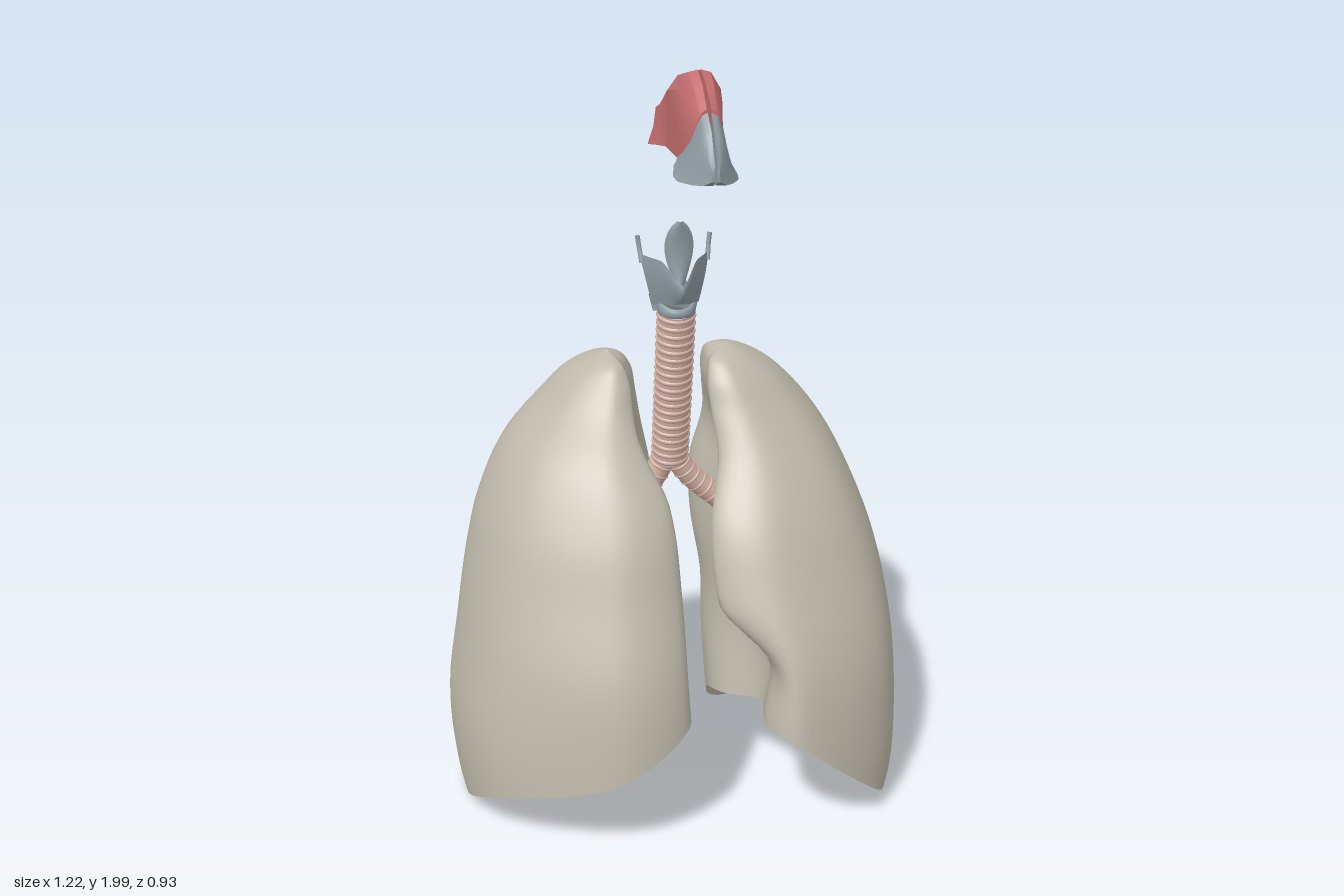
import * as THREE from 'three';
import { ParametricGeometry } from 'three/addons/geometries/ParametricGeometry.js';
import { mergeVertices, toCreasedNormals } from 'three/addons/utils/BufferGeometryUtils.js';

const V = (x, y, z) => new THREE.Vector3(x, y, z);
const { smoothstep, lerp } = THREE.MathUtils;
const mat = (color, side = THREE.FrontSide) => new THREE.MeshStandardMaterial({ color, side });
const lungMat = mat(0xbfbaab), airwayMat = mat(0xd6b3a7), mucosaMat = mat(0xc66f70, THREE.DoubleSide);
const cartilageMat = mat(0x929fa6, THREE.DoubleSide);

function mesh(name, geometry, material, parent) {
  const m = new THREE.Mesh(geometry, material);
  m.name = name;
  parent.add(m);
  return m;
}

// Smooth surface from f(u, v) -> Vector3, welded at seams and poles
function surface(f, nu, nv) {
  const g = new ParametricGeometry((u, v, t) => t.copy(f(u, v)), nu, nv);
  g.deleteAttribute('normal');
  g.deleteAttribute('uv');
  const welded = mergeVertices(g, 1e-5);
  welded.computeVertexNormals();
  return welded;
}

// Smoothly interpolated rows [position, value, value, ...]
function table(rows) {
  const n = rows[0].length - 1;
  const it = new THREE.CubicInterpolant(rows.map(r => r[0]), rows.flatMap(r => r.slice(1)), n, new Float32Array(n));
  return t => Array.from(it.evaluate(t));
}

// Lung outlines by height: y, medial x, lateral x, front z, back z
const leftSizes = table([
  [0, 0.10, 0.575, 0.40, -0.405], [0.1, 0.09, 0.60, 0.41, -0.44], [0.3, 0.08, 0.605, 0.405, -0.46],
  [0.5, 0.08, 0.59, 0.37, -0.46], [0.7, 0.05, 0.55, 0.29, -0.44], [0.85, 0.05, 0.495, 0.22, -0.415],
  [1.0, 0.09, 0.42, 0.11, -0.37], [1.1, 0.085, 0.345, 0.04, -0.32], [1.18, 0.085, 0.26, -0.01, -0.26],
  [1.22, 0.105, 0.19, -0.06, -0.19], [1.235, 0.145, 0.15, -0.12, -0.125]]);
const rightSizes = table([
  [0, 0.06, 0.58, 0.40, -0.405], [0.1, 0.04, 0.60, 0.405, -0.44], [0.3, 0.01, 0.61, 0.40, -0.46],
  [0.5, 0.015, 0.58, 0.37, -0.46], [0.7, 0.02, 0.545, 0.295, -0.44], [0.85, 0.03, 0.505, 0.235, -0.415],
  [1.0, 0.06, 0.43, 0.14, -0.37], [1.1, 0.08, 0.34, 0.04, -0.32], [1.18, 0.10, 0.26, -0.02, -0.26],
  [1.215, 0.13, 0.20, -0.06, -0.19], [1.23, 0.16, 0.165, -0.12, -0.125]]);
// Height of the lower rim at each point of the section, rising to the front and the midline
const leftRim = [0.015, 0.015, 0.015, 0.05, 0.17, 0.25, 0.33, 0.35, 0.31, 0.07];
const rightRim = [0.02, 0.015, 0.015, 0.05, 0.19, 0.28, 0.35, 0.37, 0.26, 0.16];

function lung(side, parent) {
  const left = side > 0, top = left ? 1.235 : 1.23;
  const sizes = left ? leftSizes : rightSizes, rim = left ? leftRim : rightRim;

  // Kidney-shaped section: hollow towards the heart, notched in front on the left
  function section(u, v) {
    const outline = y => {
      const pit = 0.2 * smoothstep(y, 0.1, 0.45) * (1 - smoothstep(y, 0.85, 1.15));
      const notch = left ? (0.16 + 0.04 * smoothstep(y, 0.36, 0.48)) * (1 - smoothstep(y, 0.5, 0.67)) : 0;
      const edge = left ? 0 : 0.12 * smoothstep(y, 0.9, 1.08);
      return new THREE.CatmullRomCurve3([
        [1, -0.05], [0.91, -0.65], [0.57, -1], [0.15, -0.8], [left ? 0.07 : 0.01, -0.42], [0.04 + pit, 0.03],
        [0.05 + pit * 0.8 + notch * 0.3 + edge, 0.45], [0.02 + notch + edge, 0.82], [0.35 + edge * 0.5, 1], [0.83, 0.63]
      ].map(([a, b], i) => V(a, rim[i], b)), true, 'catmullrom', 0.5).getPoint(u);
    };
    const y = lerp(Math.max(0.01, outline(0.25).y), top, v), p = outline(y), [xi, xo, zf, zb] = sizes(y);
    return V(lerp(xi, xo, p.x), y, lerp(zb, zf, (p.z + 1) / 2));
  }
  const turn = u => (left ? u : 1 - u) % 1;
  const outer = surface((u, v) => {
    const p = section(turn(u), Math.sin(v * Math.PI / 2));
    p.x *= side;
    return p;
  }, 72, 40);
  // Hollow base resting on the diaphragm
  const base = surface((u, v) => {
    const s = 1 - v, p = section(turn(u), 0);
    return V(side * lerp(p.x, 0.3, s), lerp(p.y, 0.4, 1 - v * v), lerp(p.z, 0.02, s));
  }, 72, 14);
  const g = new THREE.Group();
  g.name = left ? 'leftLung' : 'rightLung';
  parent.add(g);
  mesh('lungSurface', outer, lungMat, g);
  mesh('lungBase', base, lungMat, g);
}

// Airway tube with cartilage rings open at the back
function airway(name, points, r, rings, parent) {
  const g = new THREE.Group();
  g.name = name;
  parent.add(g);
  const curve = new THREE.CatmullRomCurve3(points);
  mesh('airwayWall', new THREE.TubeGeometry(curve, 24, r * 0.94, 20), airwayMat, g);
  const ring = new THREE.TorusGeometry(r * 0.86, r * 0.15, 8, 24, Math.PI * 1.5).rotateZ(-Math.PI / 4);
  for (let i = 0; i < rings; i++) {
    const t = (i + 0.5) / rings, m = mesh('airwayRing', ring, airwayMat, g);
    m.position.copy(curve.getPointAt(t));
    m.quaternion.setFromUnitVectors(V(0, 0, 1), curve.getTangentAt(t));
  }
}

function larynx(parent) {
  const g = new THREE.Group();
  g.name = 'larynx';
  parent.add(g);
  // Shield-shaped cartilage, notched at the top of the midline
  mesh('thyroidCartilage', surface((u, v) => {
    const a = u * 2 - 1, b = Math.abs(a);
    const low = 1.395 - 0.02 * b, high = 1.45 + 0.05 * smoothstep(b, 0, 0.55);
    return V(a * lerp(0.06, 0.088, v), lerp(low, high, v),
      lerp(0.045, 0.075, Math.sin(v * 2)) - lerp(0.085, 0.13, v) * Math.pow(b, 1.3));
  }, 24, 8), cartilageMat, g);
  for (const s of [-1, 1]) {
    const horn = new THREE.CatmullRomCurve3([V(s * 0.083, 1.48, -0.045), V(s * 0.087, 1.515, -0.058), V(s * 0.091, 1.545, -0.062)]);
    mesh('upperHorn', new THREE.TubeGeometry(horn, 8, 0.006, 8), cartilageMat, g);
    const low = new THREE.CatmullRomCurve3([V(s * 0.06, 1.40, -0.04), V(s * 0.053, 1.375, -0.05), V(s * 0.048, 1.355, -0.048)]);
    mesh('lowerHorn', new THREE.TubeGeometry(low, 8, 0.007, 8), cartilageMat, g);
    const aryt = mesh('arytenoidCartilage', new THREE.ConeGeometry(0.016, 0.055, 8), cartilageMat, g);
    aryt.position.set(s * 0.022, 1.425, -0.045);
  }
  // Signet-shaped ring, taller at the back
  mesh('cricoidCartilage', surface((u, v) => {
    const a = u * Math.PI * 2, h = v * Math.PI * 2, back = (1 + Math.sin(a)) / 2;
    const r = 0.042 + 0.007 * Math.cos(h);
    return V(r * Math.cos(a), 1.362 + 0.016 * back + (0.012 + 0.018 * back) * Math.sin(h), -0.022 - r * Math.sin(a));
  }, 28, 10), cartilageMat, g);
  // Leaf-shaped flap
  mesh('epiglottis', surface((u, v) => {
    const a = u * 2 - 1, w = 0.006 + 0.03 * Math.pow(Math.max(0, Math.sin(Math.PI * Math.pow(v, 1.5))), 0.7);
    return V(a * w, 1.42 + 0.18 * v, 0.04 - 0.015 * Math.sin(v * Math.PI) - 0.012 * a * a);
  }, 10, 16), cartilageMat, g);
}

// Half of the nose lofted along z: rows z, bottom y, top y, inner x, outer x low, outer x high
function noseHalf(name, rows, side, material, parent) {
  const corners = rows.map(([z, y0, y1, xi, x0, x1]) => [
    [xi, y0], [x0, y0], [lerp(x0, x1, 0.6), lerp(y0, y1, 0.35)], [x1, lerp(y0, y1, 0.78)], [lerp(xi, x1, 0.5), y1 - 0.006], [xi, y1]
  ].map(([x, y]) => V(side * x, y, z)));
  const pos = [];
  const tri = (a, b, c) => (side > 0 ? [a, b, c] : [a, c, b]).forEach(p => pos.push(p.x, p.y, p.z));
  for (let i = 0; i + 1 < corners.length; i++) for (let j = 0; j < 6; j++) {
    const k = (j + 1) % 6, [A, B] = [corners[i], corners[i + 1]];
    tri(A[j], A[k], B[j]);
    tri(A[k], B[k], B[j]);
  }
  const end = corners[corners.length - 1];
  for (let j = 1; j < 5; j++) {
    tri(corners[0][0], corners[0][j + 1], corners[0][j]);
    tri(end[0], end[j], end[j + 1]);
  }
  const g = new THREE.BufferGeometry();
  g.setAttribute('position', new THREE.Float32BufferAttribute(pos, 3));
  mesh(name, toCreasedNormals(g, 0.6), material, parent);
}

export function createModel() {
  const model = new THREE.Group();
  model.name = 'respiratorySystem';
  for (const s of [1, -1]) lung(s, model);

  airway('trachea', [V(0, 1.36, -0.022), V(0, 1.15, -0.07), V(0, 0.92, -0.125)], 0.05, 20, model);
  airway('leftBronchus', [V(0.005, 0.94, -0.123), V(0.05, 0.87, -0.135), V(0.11, 0.81, -0.145), V(0.17, 0.76, -0.15)], 0.033, 9, model);
  airway('rightBronchus', [V(-0.005, 0.94, -0.123), V(-0.04, 0.87, -0.135), V(-0.09, 0.79, -0.145), V(-0.13, 0.73, -0.15)], 0.035, 9, model);
  larynx(model);

  const nose = new THREE.Group();
  nose.name = 'nose';
  model.add(nose);
  for (const s of [1, -1]) {
    noseHalf('nasalCavity', [
      [-0.02, 1.785, 1.89, 0, 0.065, 0.05], [0.03, 1.79, 1.905, 0, 0.078, 0.05], [0.09, 1.8, 1.94, 0, 0.068, 0.05],
      [0.135, 1.805, 1.967, 0, 0.052, 0.05], [0.15, 1.805, 1.975, 0.004, 0.052, 0.05], [0.27, 1.805, 2.0, 0.004, 0.047, 0.048],
      [0.33, 1.81, 1.975, 0.004, 0.045, 0.04], [0.385, 1.85, 1.935, 0.005, 0.034, 0.024]], s, mucosaMat, nose);
    noseHalf('nostrilCartilage', [
      [0.31, 1.80, 1.825, 0.04, 0.064, 0.055], [0.345, 1.784, 1.85, 0.03, 0.072, 0.05], [0.375, 1.78, 1.89, 0.012, 0.069, 0.038],
      [0.39, 1.78, 1.928, 0.004, 0.064, 0.03], [0.43, 1.782, 1.895, 0.003, 0.045, 0.024], [0.455, 1.785, 1.855, 0.003, 0.026, 0.016],
      [0.468, 1.795, 1.83, 0.002, 0.01, 0.008]], s, cartilageMat, nose);
  }
  return model;
}
